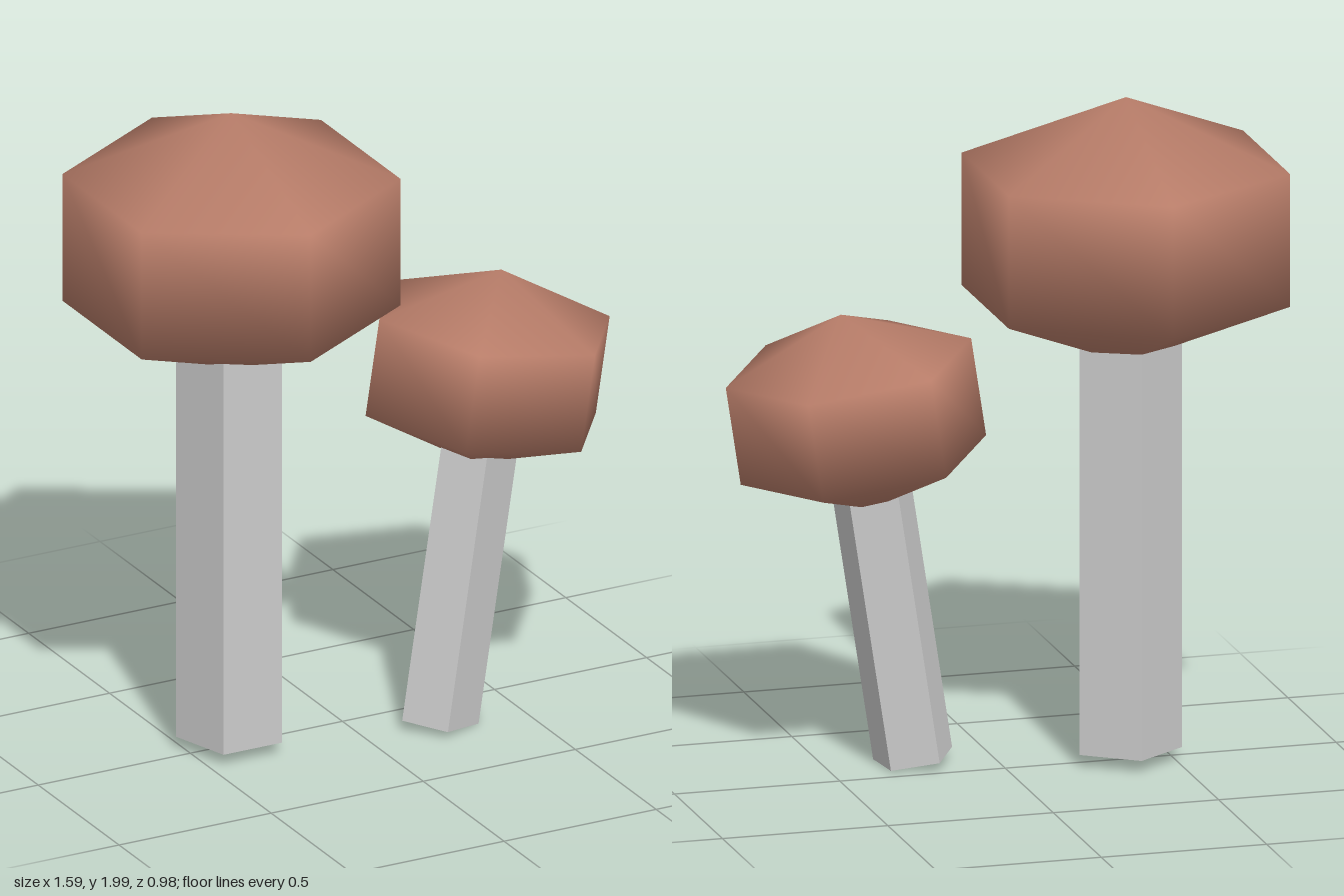
import * as THREE from 'three';

const deg = THREE.MathUtils.degToRad;
const capMaterial = new THREE.MeshStandardMaterial({ color: 0xb87d69 });
const stemMaterial = new THREE.MeshStandardMaterial({ color: 0xcccccc, flatShading: true });

// Squashed six-sided cap, smooth shaded
function makeCap(radius, yaw) {
  const geometry = new THREE.SphereGeometry(radius, 6, 3);
  geometry.scale(1, 0.705, 1);
  geometry.rotateY(deg(yaw));
  const cap = new THREE.Mesh(geometry, capMaterial);
  cap.name = 'cap';
  return cap;
}

// Five-sided stem with its foot at the origin
function makeStem(radius, height, yaw) {
  const geometry = new THREE.CylinderGeometry(radius, radius, height, 5);
  geometry.translate(0, height / 2, 0);
  geometry.rotateY(deg(yaw));
  const stem = new THREE.Mesh(geometry, stemMaterial);
  stem.name = 'stem';
  return stem;
}

function makeMushroom({ name, lean, cap, stem }) {
  const group = new THREE.Group();
  group.name = name;
  const capMesh = makeCap(cap.radius, cap.yaw);
  capMesh.position.set(...cap.at);
  const stemMesh = makeStem(stem.radius, stem.height, stem.yaw);
  stemMesh.position.set(...stem.at);
  for (const part of [capMesh, stemMesh]) {
    part.rotation.z = -lean;
    group.add(part);
  }
  return group;
}

export function createModel() {
  const model = new THREE.Group();
  model.name = 'mushrooms';
  model.add(
    // Tall upright mushroom
    makeMushroom({
      name: 'tallMushroom',
      lean: 0,
      cap: { radius: 0.567, yaw: 30, at: [-0.365, 1.6, 0] },
      stem: { radius: 0.163, height: 1.41, yaw: 180, at: [-0.365, 0.042, 0] },
    }),
    // Short leaning mushroom
    makeMushroom({
      name: 'shortMushroom',
      lean: 0.152,
      cap: { radius: 0.424, yaw: -5, at: [0.42, 1.084, 0.108] },
      stem: { radius: 0.122, height: 1.02, yaw: -85, at: [0.238, 0.021, 0.137] },
    }),
  );
  return model;
}
